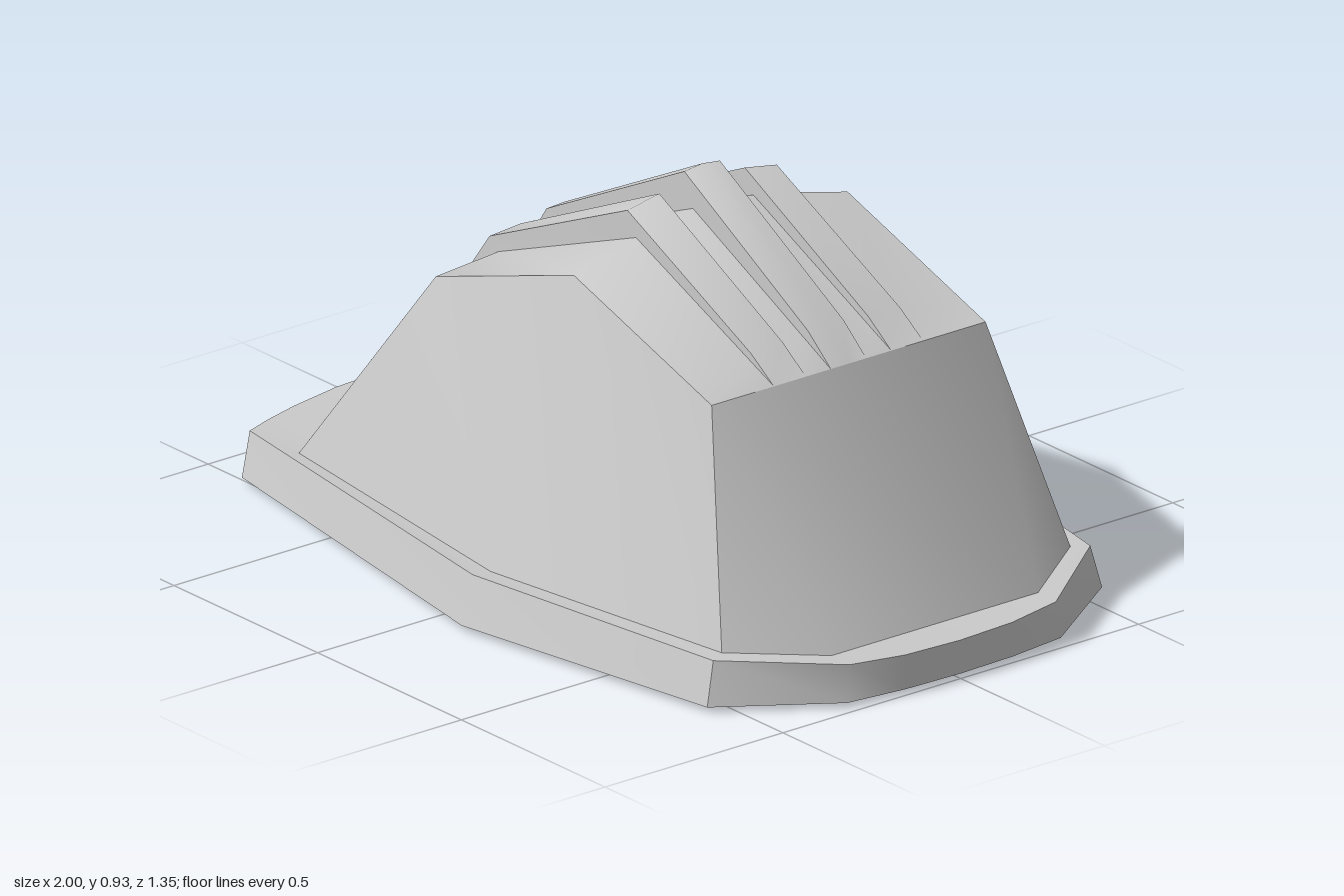
import * as THREE from 'three';
import { toCreasedNormals } from 'three/addons/utils/BufferGeometryUtils.js';

const material = new THREE.MeshStandardMaterial({ color: 0xcccccc, side: THREE.DoubleSide });

// Skins rows of [x, y, z] points into a sheet, leaving out collapsed triangles
function sheet(name, rows, crease) {
  const pos = [];
  const tri = new THREE.Triangle();
  const add = (a, b, c) => {
    tri.a.fromArray(a);
    tri.b.fromArray(b);
    tri.c.fromArray(c);
    if (tri.getArea() > 1e-7) pos.push(...a, ...b, ...c);
  };
  for (let i = 0; i < rows.length - 1; i++) {
    for (let j = 0; j < rows[i].length - 1; j++) {
      const a = rows[i][j], b = rows[i + 1][j], c = rows[i + 1][j + 1], d = rows[i][j + 1];
      add(a, b, c);
      add(a, c, d);
    }
  }
  const geo = new THREE.BufferGeometry();
  geo.setAttribute('position', new THREE.Float32BufferAttribute(pos, 3));
  geo.computeVertexNormals();
  const mesh = new THREE.Mesh(toCreasedNormals(geo, crease), material);
  mesh.name = name;
  return mesh;
}

const flip = ([x, y, z]) => [x, y, -z];

// Lengthwise section of the crown at z, raised by lift where there is a rib
function crownSection(z, lift) {
  const t = 1 - Math.abs(z) / 0.385;
  const peak = 0.775 + 0.08 * Math.pow(t, 0.75);
  const rear = THREE.MathUtils.lerp(peak, 0.62, 0.4 / 0.48);
  const r = lift ? 1 : 0;
  return [
    [-0.715 - 0.04 * r, 0.11, z * 1.234],
    [-0.35 - 0.03 * r, 0.62 + 0.03 * t + 0.5 * lift, z],
    [0.13 - 0.03 * r, peak + lift, z],
    [0.53, rear + 0.35 * lift, z],
    [0.61, 0.62, z],
  ];
}

export function createModel() {
  const group = new THREE.Group();
  group.name = 'hardHat';

  // Crown with three raised ribs: [z, lift], doubled where a rib steps up
  const half = [[0.385, 0], [0.21, 0], [0.21, 0.055], [0.12, 0.055], [0.12, 0], [0.05, 0], [0.05, 0.078]];
  const stations = [
    ...half.map(([z, l]) => [-z, l]),
    [0, 0.076],
    ...half.slice().reverse(),
  ];
  group.add(sheet('ribbedCrown', stations.map(([z, l]) => crownSection(z, l)), 1.1));

  // Side walls
  const wallTop = [[-0.35, 0.62, 0.385], [0.13, 0.775, 0.385], [0.61, 0.62, 0.385]];
  const wallBase = [[-0.715, 0.11, 0.475], [0.1, 0.12, 0.595], [0.775, 0.115, 0.49]];
  group.add(sheet('leftWall', [wallTop, wallBase], 0.68));
  group.add(sheet('rightWall', [wallBase.map(flip), wallTop.map(flip)], 0.68));

  // Back wall
  const corner = wallTop[2];
  const backBase = [wallBase[2], [0.91, 0.1, 0.29]];
  group.add(sheet('backWall', [
    [corner, corner, flip(corner), flip(corner)],
    [...backBase, flip(backBase[1]), flip(backBase[0])],
  ], 0.68));

  // Brim: half outlines from the bill tip round to the back
  const innerTop = [
    [-0.715, 0.11, 0], [-0.715, 0.11, 0.14], [-0.715, 0.11, 0.28], [-0.715, 0.11, 0.39],
    ...wallBase, backBase[1], [0.91, 0.1, 0.14], [0.91, 0.1, 0],
  ];
  const outerTop = [
    [-1, 0.095, 0], [-0.987, 0.097, 0.15], [-0.95, 0.102, 0.3], [-0.915, 0.107, 0.4],
    [-0.88, 0.112, 0.48], [0.1, 0.125, 0.645], [0.795, 0.113, 0.53],
    [0.972, 0.098, 0.29], [0.993, 0.092, 0.15], [0.998, 0.09, 0],
  ];
  const outerBottom = [
    [-1, 0.012, 0], [-0.987, 0.012, 0.15], [-0.95, 0.012, 0.31], [-0.915, 0.012, 0.41],
    [-0.87, 0.012, 0.51], [0.1, 0.012, 0.675], [0.805, 0.012, 0.555],
    [0.977, 0.012, 0.3], [0.995, 0.012, 0.15], [1, 0.012, 0],
  ];
  const innerBottom = innerTop.map(([x, y, z]) => [x, 0, z]);
  const loop = (pts) => [...pts, ...pts.slice(0, -1).reverse().map(flip)];
  group.add(sheet('brim', [innerTop, outerTop, outerBottom, innerBottom, innerTop].map(loop), 0.6));

  return group;
}
